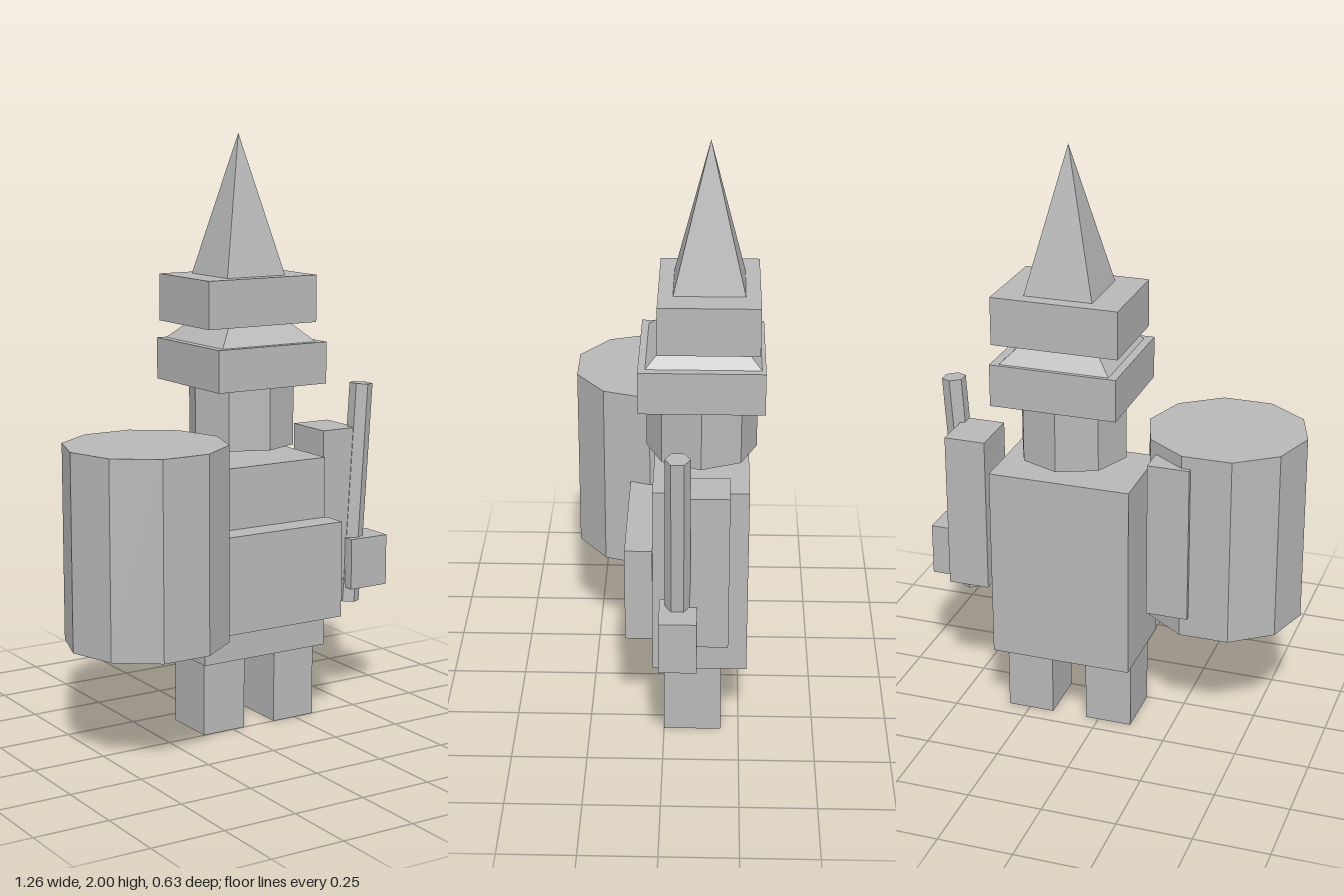
import * as THREE from 'three';

export function createModel() {
  const model = new THREE.Group();
  const grey = new THREE.MeshStandardMaterial({ color: 0xb8b8b8, flatShading: true });
  grey.name = 'plain grey';

  function add(name, geometry, x, y, z) {
    const mesh = new THREE.Mesh(geometry, grey);
    mesh.name = name;
    mesh.position.set(x, y, z);
    model.add(mesh);
    return mesh;
  }

  // Block from its minimum and maximum along each axis
  function block(name, [x0, x1], [y0, y1], [z0, z1]) {
    return add(name, new THREE.BoxGeometry(x1 - x0, y1 - y0, z1 - z0),
      (x0 + x1) / 2, (y0 + y1) / 2, (z0 + z1) / 2);
  }

  // Four-sided pyramid with its sides along the axes
  function pyramid(name, half, height, x, y, z) {
    const geometry = new THREE.ConeGeometry(half * Math.SQRT2, height, 4);
    geometry.rotateY(Math.PI / 4);
    return add(name, geometry, x, y + height / 2, z);
  }

  const cx = 0.105; // body centre line

  // Legs and arms
  for (const [side, s] of [['left', 1], ['right', -1]]) {
    const leg = cx + s * 0.14;
    block(side + 'Leg', [leg - 0.08, leg + 0.08], [0, 0.255], [-0.19, 0]);
    const arm = cx + s * 0.35;
    block(side + 'Arm', [arm - 0.07, arm + 0.07], [0.455, 0.99], [-0.21, -0.03]);
  }

  // Torso and belly plate
  block('torso', [-0.133, 0.345], [0.255, 0.913], [-0.273, 0.037]);
  block('bellyPlate', [-0.145, 0.355], [0.375, 0.705], [0.037, 0.127]);

  // Head and stacked helmet
  add('head', new THREE.CylinderGeometry(0.18, 0.18, 0.21, 8), cx, 1.07, -0.117);
  block('helmetBrim', [-0.105, 0.315], [1.175, 1.315], [-0.317, 0.083]);
  pyramid('helmetSlope', 0.182, 0.18, cx, 1.315, -0.122);
  block('helmetBand', [-0.105, 0.315], [1.375, 1.533], [-0.298, 0.022]);
  pyramid('helmetSpike', 0.113, 0.467, cx + 0.002, 1.533, -0.138);

  // Ten-sided shield drum
  const drum = add('shieldDrum', new THREE.CylinderGeometry(0.268, 0.268, 0.647, 10), -0.367, 0.709, 0.06);
  drum.rotation.y = Math.PI / 2;

  // Hand with leaning rod
  block('leftHand', [0.48, 0.63], [0.425, 0.603], [-0.11, 0.01]);
  const rod = add('rod', new THREE.CylinderGeometry(0.04, 0.04, 0.77, 6), 0.53, 0.757, -0.048);
  rod.rotation.z = -0.063;

  return model;
}
